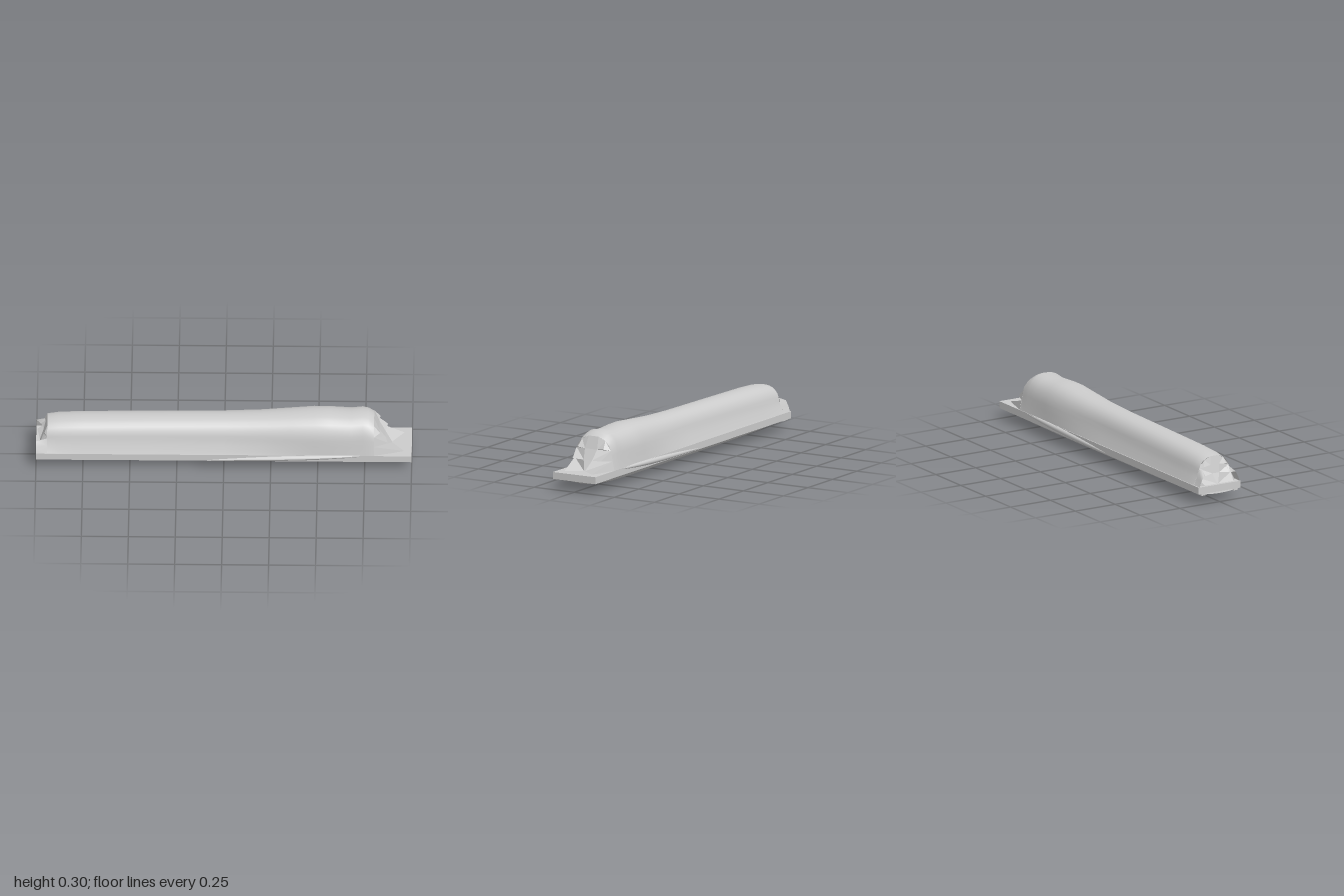
import * as THREE from 'three';

const material = new THREE.MeshStandardMaterial({ color: 0xcccccc, side: THREE.DoubleSide });
const foldMaterial = new THREE.MeshStandardMaterial({ color: 0xcccccc, side: THREE.DoubleSide, flatShading: true });

// Skin a list of cross-sections (arrays of [x, y, z]) ordered along +x
function loft(name, sections) {
  const n = sections[0].length, index = [];
  for (let i = 0; i < sections.length - 1; i++) {
    for (let j = 0; j < n - 1; j++) {
      const a = i * n + j, b = a + n;
      index.push(a, b, a + 1, b, b + 1, a + 1);
    }
  }
  const geometry = new THREE.BufferGeometry();
  geometry.setAttribute('position', new THREE.Float32BufferAttribute(sections.flat(2), 3));
  geometry.setIndex(index);
  geometry.computeVertexNormals();
  const mesh = new THREE.Mesh(geometry, material);
  mesh.name = name;
  return mesh;
}

// Wrapper section: slanted walls from the strip's edge, then a dome.
// WALL holds [blend from foot to dome, height], DOME holds [width, height].
const BASE = 0.09, FOOT = 0.13;
const WALL = [[0, 0], [0.3, 0.12], [0.65, 0.28]];
const DOME = [[1, 0.45], [0.96, 0.58], [0.87, 0.73], [0.73, 0.84], [0.58, 0.915], [0.4, 0.965], [0.2, 0.99], [0, 1]];

function archSection(x, top, width) {
  const point = (z, h) => [x, BASE + h * (top - BASE), z];
  const half = [
    ...WALL.map(([k, h]) => point(FOOT + (width - FOOT) * k, h)),
    ...DOME.map(([w, h]) => point(w * width, h)),
  ];
  const other = half.slice(0, -1).reverse().map(([px, y, z]) => [px, y, -z]);
  return [...half, ...other];
}

// Pleated end: inner points line the middle panel, outer points follow the
// wrapper's rim, and each pleat rises to a ridge between them.
function pleatedEnd(name, inner, outer, ridges) {
  const positions = [];
  const outward = Math.sign(inner[0][0]);
  const face = (side, a, b, c) => {
    const corners = side * outward > 0 ? [a, b, c] : [a, c, b];
    corners.forEach(([x, y, z]) => positions.push(x, y, z * side));
  };
  for (const side of [1, -1]) {
    face(side, inner[0], outer[0], inner[1]);
    ridges.forEach((ridge, i) => {
      face(side, outer[i], ridge, inner[i + 1]);
      face(side, ridge, outer[i + 1], inner[i + 1]);
      face(side, outer[i], outer[i + 1], ridge);
      if (i + 2 < inner.length) face(side, outer[i + 1], inner[i + 2], inner[i + 1]);
    });
  }
  // Middle panel
  for (let i = 0; i < inner.length - 1; i++) {
    const [a, b] = [inner[i], inner[i + 1]];
    const mirror = ([x, y, z]) => [x, y, -z];
    face(1, a, b, mirror(b));
    face(1, a, mirror(b), mirror(a));
  }
  const geometry = new THREE.BufferGeometry();
  geometry.setAttribute('position', new THREE.Float32BufferAttribute(positions, 3));
  geometry.computeVertexNormals();
  const mesh = new THREE.Mesh(geometry, foldMaterial);
  mesh.name = name;
  return mesh;
}

export function createModel() {
  const model = new THREE.Group();
  model.name = 'wrappedBar';

  // Flat backing strip
  const strip = new THREE.Mesh(new THREE.BoxGeometry(2, 0.038, 0.264), material);
  strip.name = 'backingStrip';
  strip.position.y = 0.077;
  model.add(strip);

  // Shallow curved underside: [x, lowest y]
  const keel = [[-1, 0.048], [-0.93, 0.038], [-0.85, 0.022], [-0.75, 0.01], [-0.5, 0.004], [0, 0.002],
    [0.5, 0], [0.7, 0.004], [0.82, 0.014], [0.92, 0.033], [1, 0.058]];
  model.add(loft('underside', keel.map(([x, low]) => {
    const section = [];
    for (let j = 0; j <= 16; j++) {
      const u = j / 8 - 1;
      section.push([x, low + (0.059 - low) * Math.pow(Math.abs(u), 1.7), u * 0.131]);
    }
    return section;
  })));

  // Arched wrapper: [x, crown height, half width of the dome]
  const stations = [[-0.94, 0.24, 0.096], [-0.88, 0.25, 0.1], [-0.75, 0.256, 0.102], [-0.4, 0.262, 0.1],
    [0, 0.268, 0.1], [0.2, 0.275, 0.106], [0.35, 0.286, 0.114], [0.48, 0.296, 0.121], [0.56, 0.296, 0.121],
    [0.68, 0.289, 0.117], [0.74, 0.298, 0.116], [0.77, 0.289, 0.115], [0.8, 0.27, 0.112]];
  model.add(loft('wrapper', stations.map((s) => archSection(...s))));

  // Folded ends
  model.add(pleatedEnd('leftEndFolds',
    [[0.8, 0.27, 0.03], [0.828, 0.205, 0.038], [0.86, 0.15, 0.026], [0.895, 0.096, 0.003]],
    [[0.8, 0.25, 0.072], [0.8, 0.2, 0.107], [0.8, 0.145, 0.118], [0.8, 0.092, 0.13]],
    [[0.832, 0.21, 0.08], [0.872, 0.153, 0.088], [0.96, 0.098, 0.085]]));
  model.add(pleatedEnd('rightEndFolds',
    [[-0.94, 0.24, 0.02], [-0.95, 0.195, 0.028], [-0.96, 0.15, 0.022], [-0.98, 0.096, 0.003]],
    [[-0.94, 0.225, 0.058], [-0.94, 0.18, 0.092], [-0.94, 0.135, 0.107], [-0.94, 0.092, 0.13]],
    [[-0.955, 0.19, 0.07], [-0.975, 0.145, 0.08], [-0.995, 0.1, 0.09]]));

  for (const side of [1, -1]) {
    const label = side > 0 ? 'front' : 'back';

    // Slim bulging crease along the long edge
    const crease = [];
    for (let i = 0; i <= 20; i++) {
      const t = i / 20, swell = Math.sin(Math.PI * Math.pow(t, 1.3)), section = [];
      for (let j = 0; j <= 10; j++) {
        const a = (j / 10) * Math.PI * 2;
        section.push([-0.25 + 1.05 * t, 0.056 + 0.038 * t + 0.016 * swell * Math.sin(a),
          side * 0.127 + 0.017 * swell * Math.cos(a)]);
      }
      crease.push(section);
    }
    model.add(loft(label + 'EdgeCrease', crease));

    // Upright ear at the right end, continuing the wrapper's side
    const ear = [
      [[-1, 0.09, 0.128], [-1, 0.125, 0.115], [-1, 0.153, 0.1], [-0.975, 0.145, 0.075]],
      [[-0.94, 0.09, 0.13], [-0.94, 0.132, 0.108], [-0.94, 0.17, 0.095], [-0.94, 0.18, 0.075]],
    ].map((section) => {
      const placed = section.map(([x, y, z]) => [x, y, z * side]);
      return side > 0 ? placed : placed.reverse();
    });
    model.add(loft(label + 'Ear', ear));

    // Small folded tab under the right end
    const tab = new THREE.Mesh(new THREE.BoxGeometry(0.05, 0.016, 0.025), material);
    tab.name = label + 'Tab';
    tab.position.set(-0.974, 0.056, side * 0.1);
    model.add(tab);
  }
  return model;
}
